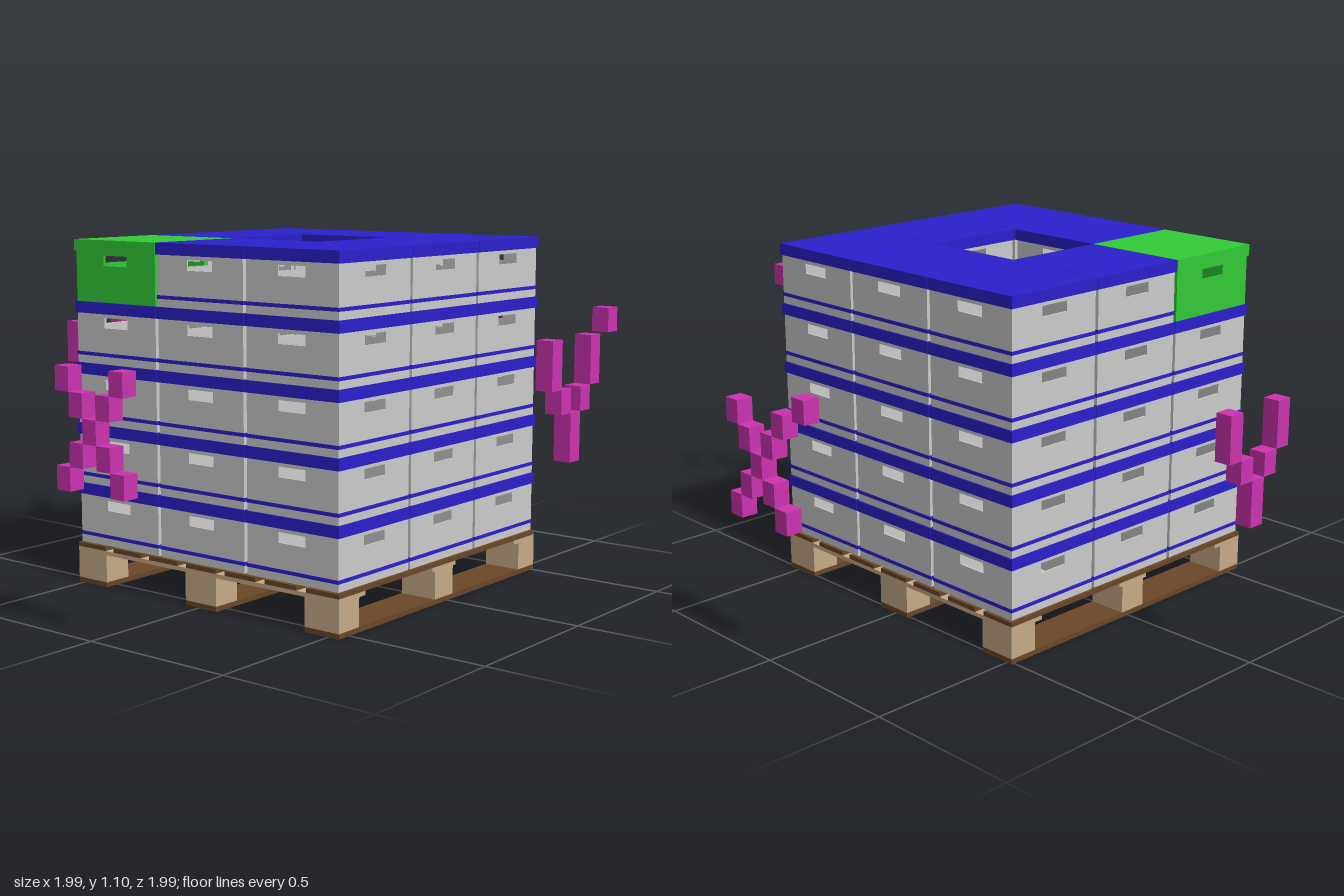
import * as THREE from 'three';

const mat = (name, color) => {
  const m = new THREE.MeshStandardMaterial({ color });
  m.name = name;
  return m;
};

export function createModel() {
  const grey = mat('crateGrey', 0xcccccc);
  const blue = mat('lidBlue', 0x2b20cc);
  const green = mat('crateGreen', 0x33cc38);
  const magenta = mat('markerMagenta', 0xcc33b0);
  const tan = mat('blockWood', 0xc8ab88);
  const brown = mat('plankWood', 0x6b4728);

  const root = new THREE.Group();
  root.name = 'loadedPallet';
  const CX = 0.01, CZ = 0.02; // stack centre

  const add = (parent, name, geo, material, x, y, z) => {
    const m = new THREE.Mesh(geo, material);
    m.name = name;
    m.position.set(x, y, z);
    parent.add(m);
    return m;
  };

  // Pallet: runners, blocks, cross boards, deck planks
  const pallet = new THREE.Group();
  pallet.name = 'pallet';
  root.add(pallet);
  const L = 1.06;
  const runner = new THREE.BoxGeometry(0.125, 0.016, L);
  const block = new THREE.BoxGeometry(0.125, 0.089, 0.096);
  const crossBoard = new THREE.BoxGeometry(L, 0.013, 0.125);
  const plank = new THREE.BoxGeometry(0.12, 0.014, L);
  for (const i of [-1, 0, 1]) {
    const x = CX + i * (L - 0.125) / 2;
    add(pallet, 'runner', runner, brown, x, 0.008, CZ);
    for (const j of [-1, 0, 1])
      add(pallet, 'block', block, tan, x, 0.0605, CZ + j * (L - 0.096) / 2);
    add(pallet, 'crossBoard', crossBoard, tan, CX, 0.1115, CZ + i * (L - 0.125) / 2);
  }
  for (let i = -3; i <= 3; i++)
    add(pallet, 'deckPlank', plank, brown, CX + i * (L - 0.12) / 6, 0.125, CZ);

  // Crate wall with a hand hole
  const W = 0.34, H = 0.16, T = 0.006;
  const rect = (path, x0, y0, x1, y1) => {
    path.moveTo(x0, y0);
    path.lineTo(x1, y0);
    path.lineTo(x1, y1);
    path.lineTo(x0, y1);
    path.closePath();
    return path;
  };
  const wallShape = rect(new THREE.Shape(), -W / 2, 0, W / 2, H);
  wallShape.holes.push(rect(new THREE.Path(), -0.05, 0.114, 0.05, 0.146));
  const wall = new THREE.ExtrudeGeometry(wallShape, { depth: T, bevelEnabled: false });
  wall.translate(0, 0, W / 2 - T);
  const stripe = new THREE.BoxGeometry(W + 0.004, 0.011, 0.004);
  stripe.translate(0, 0.03, W / 2);
  const floor = new THREE.BoxGeometry(W - 0.004, 0.004, W - 0.004);
  const lid = new THREE.BoxGeometry(0.35, 0.036, 0.35);

  const makeCrate = (bodyMat, trimMat) => {
    const crate = new THREE.Group();
    crate.name = 'crate';
    for (let k = 0; k < 4; k++) {
      add(crate, 'crateWall', wall, bodyMat, 0, 0, 0).rotation.y = k * Math.PI / 2;
      if (bodyMat !== trimMat)
        add(crate, 'crateStripe', stripe, trimMat, 0, 0, 0).rotation.y = k * Math.PI / 2;
    }
    add(crate, 'crateFloor', floor, bodyMat, 0, 0.003, 0);
    add(crate, 'crateLid', lid, trimMat, 0, H + 0.016, 0);
    return crate;
  };

  // Five layers of eight crates around an open shaft, one green crate on top
  for (let layer = 0; layer < 5; layer++)
    for (const i of [-1, 0, 1])
      for (const j of [-1, 0, 1]) {
        if (i === 0 && j === 0) continue;
        const special = layer === 4 && i === -1 && j === 1;
        const crate = special ? makeCrate(green, green) : makeCrate(grey, blue);
        crate.position.set(CX + i * 0.352, 0.134 + layer * 0.194, CZ + j * 0.352);
        root.add(crate);
      }

  // Floating side markers made of small cubes on a grid
  const S = 0.0535, SY = 0.0715;
  const cube = new THREE.BoxGeometry(S, SY, 0.053);
  const crossCells = [[-2, 2], [2, 2], [-1, 1], [1, 1], [0, 0], [-1, -1], [1, -1], [-2, -2], [2, -2]];
  const forkCells = [[-2, 2], [2, 2], [-2, 1], [2, 1], [-1, 0], [1, 0], [0, -1], [0, -2]];
  const marker = (name, cells, x, y, z, turn) => {
    const g = new THREE.Group();
    g.name = name;
    g.position.set(x, y, z);
    g.rotation.y = turn;
    for (const [u, v] of cells) add(g, 'markerCube', cube, magenta, u * S, v * SY, 0);
    root.add(g);
  };
  const accent = [3.85, 3];
  marker('frontMarker', crossCells, 0.003, 0.6, 0.968, 0);
  marker('backMarker', [...crossCells, [3.85, 2.9]], 0.022, 0.6, -0.9735, Math.PI);
  marker('leftMarker', [...forkCells, accent], 0.968, 0.673, 0.035, Math.PI / 2);
  marker('rightMarker', forkCells, -0.9735, 0.607, 0, -Math.PI / 2);
  return root;
}
